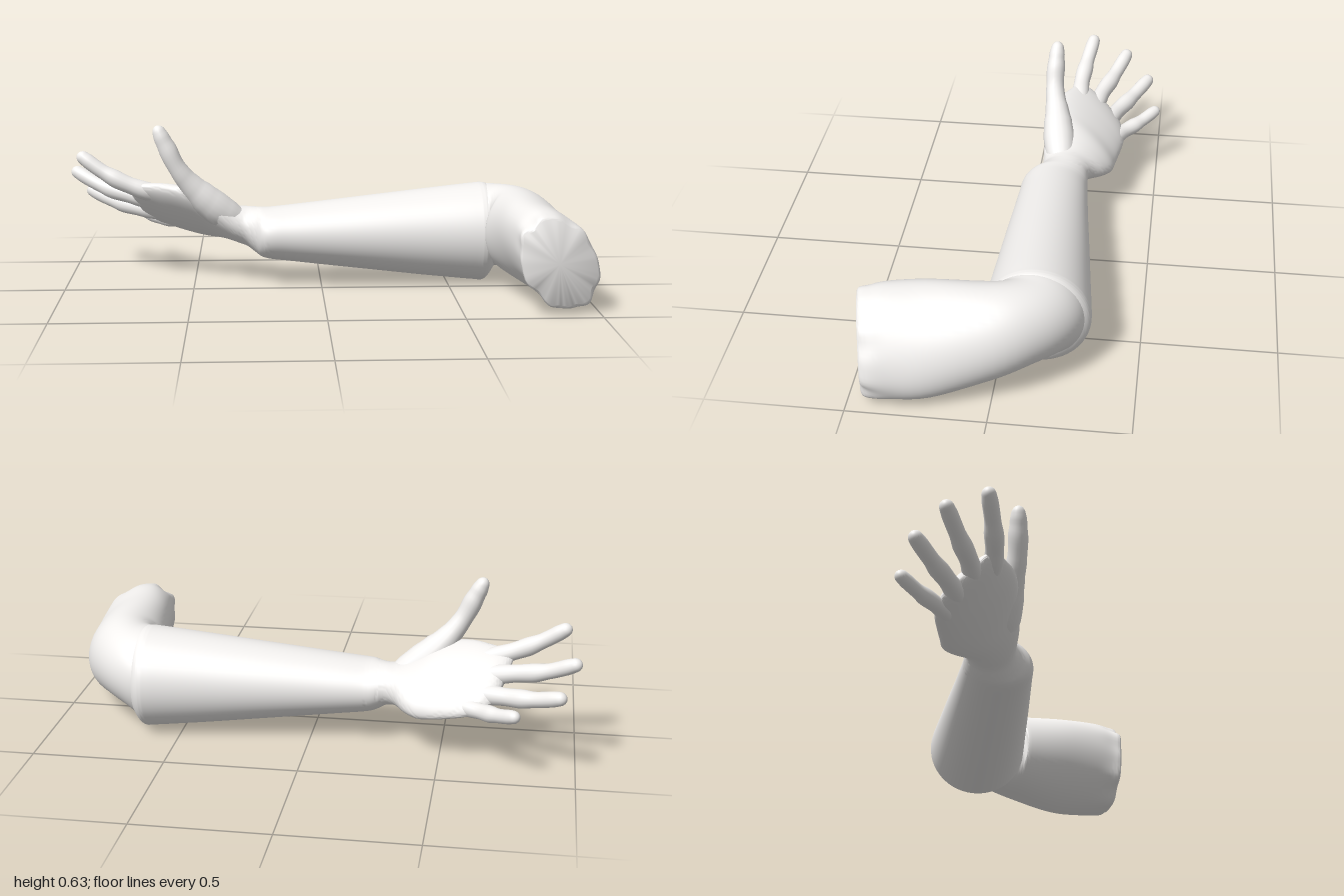
import * as THREE from 'three';
import { mergeVertices, toCreasedNormals } from 'three/addons/utils/BufferGeometryUtils.js';

const material = new THREE.MeshStandardMaterial({ color: 0xf2f0ee });
const rad = THREE.MathUtils.degToRad;

function add(group, name, geometry) {
  const mesh = new THREE.Mesh(geometry, material);
  mesh.name = name;
  group.add(mesh);
}

// Smooth interpolation of whole section rows
function refine(rows, sub) {
  const out = [];
  for (let i = 0; i < rows.length - 1; i++) {
    const a = rows[Math.max(i - 1, 0)], b = rows[i], c = rows[i + 1], d = rows[Math.min(i + 2, rows.length - 1)];
    for (let s = 0; s < sub; s++) {
      const t = s / sub;
      out.push(b.map((v, k) => v + 0.5 * t * (c[k] - a[k]
        + t * (2 * a[k] - 5 * v + 4 * c[k] - d[k] + t * (3 * (v - c[k]) + d[k] - a[k])))));
    }
  }
  out.push(rows[rows.length - 1]);
  return out;
}

// Skin over oval sections: [x, y, z, half width, half height, yaw, roll, ripple]
function loft(rows, segs) {
  const sections = refine(rows, 5);
  const pos = [], idx = [], n = sections.length;
  for (const [x, y, z, w, h, yawDeg, rollDeg, ripple] of sections) {
    const yaw = rad(yawDeg), roll = rad(rollDeg);
    const side = new THREE.Vector3(-Math.sin(yaw), 0, Math.cos(yaw));
    const up = new THREE.Vector3(0, 1, 0);
    const u = side.clone().multiplyScalar(Math.cos(roll)).addScaledVector(up, -Math.sin(roll));
    const v = up.clone().multiplyScalar(Math.cos(roll)).addScaledVector(side, Math.sin(roll));
    for (let j = 0; j < segs; j++) {
      const a = (j / segs) * Math.PI * 2;
      const k = 1 + ripple * (Math.sin(7 * a) + 0.6 * Math.sin(11 * a + 1));
      const p = new THREE.Vector3(x, y, z)
        .addScaledVector(u, Math.cos(a) * w * k).addScaledVector(v, Math.sin(a) * h * k);
      pos.push(p.x, p.y, p.z);
    }
  }
  const first = n * segs, last = first + 1;
  pos.push(...sections[0].slice(0, 3), ...sections[n - 1].slice(0, 3));
  for (let j = 0; j < segs; j++) {
    const k = (j + 1) % segs;
    for (let i = 0; i < n - 1; i++) {
      const a = i * segs + j, e = i * segs + k;
      idx.push(a, a + segs, e, e, a + segs, e + segs);
    }
    const end = (n - 1) * segs;
    idx.push(first, j, k, last, end + k, end + j);
  }
  const g = new THREE.BufferGeometry();
  g.setAttribute('position', new THREE.Float32BufferAttribute(pos, 3));
  g.setIndex(idx);
  return toCreasedNormals(g, 0.9);
}

// Tapered digit with a rounded tip; radii are spread evenly along the path
function digit(points, radii) {
  const curve = new THREE.CatmullRomCurve3(points.map((p) => new THREE.Vector3(...p)));
  const rings = 36, sides = 18, length = curve.getLength();
  let g = new THREE.TubeGeometry(curve, rings, 1, sides);
  const p = g.attributes.position, v = new THREE.Vector3();
  const tip = radii[radii.length - 1];
  for (let i = 0; i <= rings; i++) {
    // Rings crowd toward the tip so that it stays round
    const t = Math.sin((i / rings) * Math.PI / 2);
    const c = curve.getPointAt(i / rings), target = curve.getPointAt(t);
    const f = t * (radii.length - 1), k = Math.min(Math.floor(f), radii.length - 2);
    let r = THREE.MathUtils.lerp(radii[k], radii[k + 1], THREE.MathUtils.smoothstep(f - k, 0, 1));
    const left = (1 - t) * length;
    if (left < tip) r *= Math.sqrt(Math.max(0, 1 - (1 - left / tip) ** 2));
    for (let j = 0; j <= sides; j++) {
      const q = i * (sides + 1) + j;
      v.fromBufferAttribute(p, q).sub(c).multiplyScalar(r).add(target);
      p.setXYZ(q, v.x, v.y, v.z);
    }
  }
  g.deleteAttribute('uv');
  g.deleteAttribute('normal');
  g = mergeVertices(g, 1e-5);
  g.computeVertexNormals();
  return g;
}

export function createModel() {
  const model = new THREE.Group();
  model.name = 'bentArm';

  // Palm turned up and back, flowing through the wrist into the forearm
  const palm = [
    [-0.730, 0.307, -0.252, 0.085, 0.012, 22, -38, 0],
    [-0.715, 0.304, -0.252, 0.112, 0.026, 22, -38, 0],
    [-0.68, 0.297, -0.249, 0.143, 0.038, 21, -38, 0],
    [-0.63, 0.291, -0.238, 0.160, 0.046, 19, -38, 0],
    [-0.57, 0.284, -0.217, 0.172, 0.053, 17, -38, 0],
    [-0.50, 0.272, -0.200, 0.174, 0.058, 16, -38, 0],
    [-0.44, 0.258, -0.193, 0.163, 0.064, 14, -35, 0],
    [-0.38, 0.240, -0.172, 0.138, 0.069, 10, -25, 0],
    [-0.33, 0.228, -0.152, 0.106, 0.073, 6, -12, 0],
    [-0.29, 0.221, -0.142, 0.095, 0.079, 3, -4, 0],
  ];
  const forearm = [
    [-0.26, 0.211, -0.128, 0.108, 0.089, 0, 0, 0],
    [-0.235, 0.204, -0.114, 0.124, 0.097, 0, 0, 0],
    [-0.20, 0.200, -0.108, 0.132, 0.102, 0, 0, 0],
    [-0.12, 0.199, -0.110, 0.138, 0.111, 0, 0, 0],
    [0.0, 0.198, -0.113, 0.147, 0.125, 0, 0, 0],
    [0.20, 0.197, -0.119, 0.163, 0.148, 0, 0, 0],
    [0.40, 0.196, -0.125, 0.178, 0.171, 0, 0, 0],
    [0.54, 0.196, -0.129, 0.189, 0.186, 0, 0, 0],
    [0.61, 0.196, -0.131, 0.194, 0.193, 0, 0, 0],
    [0.64, 0.196, -0.131, 0.194, 0.195, 0, 0, 0],
    [0.662, 0.202, -0.130, 0.183, 0.183, 0, 0, 0],
    [0.685, 0.212, -0.128, 0.153, 0.153, 0, 0, 0],
    [0.70, 0.220, -0.122, 0.110, 0.110, 0, 0, 0],
  ];
  add(model, 'forearmAndPalm', loft([...palm, ...forearm], 60));

  // Elbow bending forward into the upper arm, gathered at the cut end
  add(model, 'upperArm', loft([
    [0.60, 0.205, -0.131, 0.165, 0.165, 0, 0, 0],
    [0.645, 0.208, -0.128, 0.180, 0.178, 2, 0, 0],
    [0.69, 0.225, -0.106, 0.172, 0.163, 16, 4, 0],
    [0.735, 0.230, -0.048, 0.163, 0.162, 38, 12, 0],
    [0.775, 0.220, 0.045, 0.154, 0.177, 68, 25, 0],
    [0.817, 0.203, 0.230, 0.138, 0.206, 79, 35, 0],
    [0.837, 0.199, 0.365, 0.136, 0.205, 79, 35, 0.004],
    [0.844, 0.195, 0.425, 0.137, 0.196, 79, 35, 0.018],
    [0.841, 0.192, 0.460, 0.136, 0.186, 79, 35, 0.035],
    [0.840, 0.192, 0.470, 0.128, 0.171, 79, 35, 0.035],
  ], 72));

  // Spread fingers
  const hand = new THREE.Group();
  hand.name = 'fingers';
  model.add(hand);
  const fingers = {
    indexFinger: [[-0.58, 0.330, -0.180], [-0.72, 0.370, -0.164], [-0.84, 0.424, -0.176], [-0.960, 0.505, -0.204]],
    middleFinger: [[-0.58, 0.294, -0.220], [-0.74, 0.325, -0.245], [-0.87, 0.358, -0.293], [-1.0, 0.420, -0.350]],
    ringFinger: [[-0.56, 0.255, -0.258], [-0.71, 0.262, -0.310], [-0.83, 0.282, -0.376], [-0.950, 0.324, -0.452]],
    littleFinger: [[-0.52, 0.220, -0.285], [-0.635, 0.217, -0.348], [-0.71, 0.231, -0.420], [-0.788, 0.260, -0.496]],
  };
  for (const [name, path] of Object.entries(fingers)) {
    const s = name === 'littleFinger' ? 0.9 : 1;
    add(hand, name, digit(path, [0.022, 0.034, 0.037, 0.033, 0.035, 0.029, 0.029, 0.024].map((r) => r * s)));
  }

  // Thumb rising from a fleshy mound beside the wrist
  add(hand, 'thumb', digit([
    [-0.27, 0.215, -0.135], [-0.35, 0.258, -0.118], [-0.425, 0.312, -0.102], [-0.497, 0.382, -0.086],
    [-0.555, 0.458, -0.070], [-0.597, 0.540, -0.069], [-0.640, 0.632, -0.072],
  ], [0.030, 0.050, 0.062, 0.065, 0.060, 0.049, 0.040, 0.036, 0.038, 0.032, 0.022]));

  return model;
}
